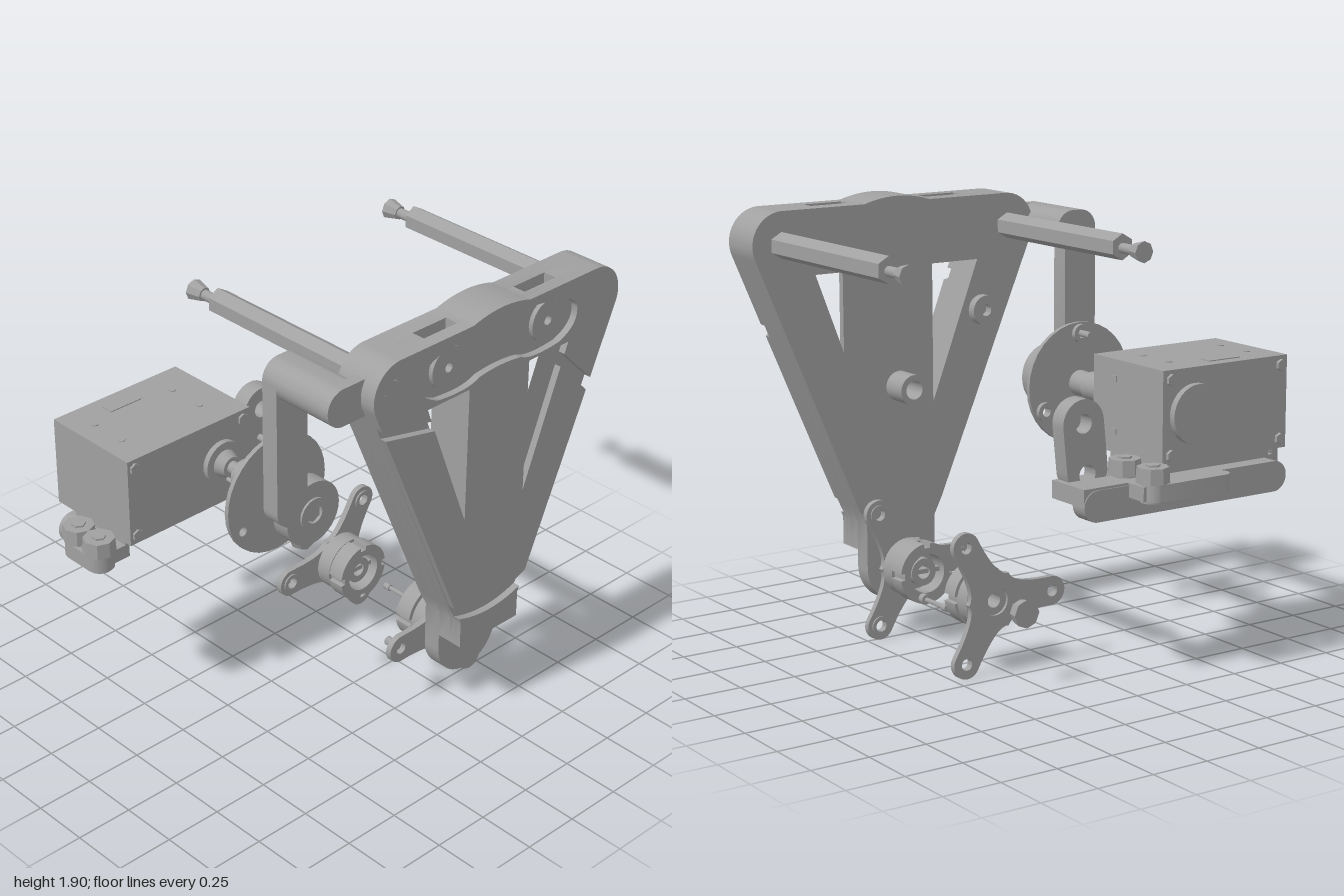
import * as THREE from 'three';
import { toCreasedNormals } from 'three/addons/utils/BufferGeometryUtils.js';

export function createModel() {
  const root = new THREE.Group();
  const grey = new THREE.MeshStandardMaterial({ color: 0xa0a0a0 });
  grey.name = 'machined grey';
  const PI = Math.PI;

  const add = (name, geo) => {
    const m = new THREE.Mesh(toCreasedNormals(geo, 0.6), grey);
    m.name = name;
    root.add(m);
    return m;
  };
  // extrude a shape along z (axis 'z') or along y (axis 'y', shape y = -z)
  const ext = (name, shape, a, b, axis = 'z') => {
    const g = new THREE.ExtrudeGeometry(shape, { depth: b - a, bevelEnabled: false, curveSegments: 16 });
    g.translate(0, 0, a);
    if (axis === 'y') g.rotateX(-PI / 2);
    return add(name, g);
  };
  // cylinder along z or y; u,v are (x,y) or (x,z)
  const cyl = (name, u, v, r, a, b, sides = 28, axis = 'z', r2 = r) => {
    const g = new THREE.CylinderGeometry(r2, r, b - a, sides);
    if (axis === 'z') g.rotateX(PI / 2).translate(u, v, (a + b) / 2);
    else g.translate(u, (a + b) / 2, v);
    return add(name, g);
  };
  const hole = (shape, x, y, r) => {
    shape.holes.push(new THREE.Path().absarc(x, y, r, 0, PI * 2, true));
    return shape;
  };
  const disc = (x, y, r) => new THREE.Shape().absarc(x, y, r, 0, PI * 2, false);
  const ring = (name, x, y, r, ri, a, b, axis) => ext(name, hole(disc(x, y, r), x, y, ri), a, b, axis);
  // rounded link between two points
  const link = (x1, y1, x2, y2, r) => {
    const t = Math.atan2(y2 - y1, x2 - x1);
    return new THREE.Shape().absarc(x1, y1, r, t + PI / 2, t + PI * 1.5, false)
      .absarc(x2, y2, r, t - PI / 2, t + PI / 2, false);
  };
  const box = (name, x0, x1, y0, y1, z0, z1) =>
    add(name, new THREE.BoxGeometry(x1 - x0, y1 - y0, z1 - z0)
      .translate((x0 + x1) / 2, (y0 + y1) / 2, (z0 + z1) / 2));

  // ---- triangular frame, stacked in four layers ----
  const outer = (y, side) => 0.3 + side * (0.679 - (1.68 - y) * 0.428);
  const inner = (y, side) => 0.3 + side * (0.4 - (1.6 - y) * 0.383);
  const tri = (P, s) => [[0.3 + s * 0.17, 1.6], [0.3 + s * 0.4, 1.6], [0.3 + s * 0.17, 1.0]]
    .reduce((p, [x, y], i) => (i ? p.lineTo(x, y) : p.moveTo(x, y)), new P());
  const frame = ({ slots = false, tab = false, grooves = false }) => {
    const s = new THREE.Shape();
    if (grooves) s.moveTo(0.09, 0.59);
    else s.moveTo(0.13, tab ? 0.31 : 0.38).lineTo(0.13, 0.5).lineTo(0.09, 0.58);
    if (grooves) {
      s.lineTo(outer(1.55, -1), 1.55).lineTo(inner(1.49, -1), 1.49).lineTo(0.13, 1.0).lineTo(0.13, 1.6)
        .lineTo(-0.1, 1.6).lineTo(inner(1.54, -1), 1.54).lineTo(outer(1.6, -1), 1.6);
    }
    s.absarc(-0.25, 1.735, 0.14, PI * 1.128, PI / 2, true);
    if (slots) s.lineTo(-0.07, 1.875).lineTo(-0.07, 1.8).lineTo(0.11, 1.8).lineTo(0.11, 1.875);
    s.lineTo(0.14, 1.875).quadraticCurveTo(0.3, 1.925, 0.46, 1.875);
    if (slots) s.lineTo(0.49, 1.875).lineTo(0.49, 1.8).lineTo(0.67, 1.8).lineTo(0.67, 1.875);
    s.absarc(0.85, 1.735, 0.14, PI / 2, -PI * 0.128, true);
    if (grooves) {
      s.lineTo(outer(1.38, 1), 1.38).lineTo(inner(1.55, 1), 1.55).lineTo(0.7, 1.6).lineTo(0.47, 1.6)
        .lineTo(0.47, 1.0).lineTo(inner(1.5, 1), 1.5).lineTo(outer(1.33, 1), 1.33)
        .lineTo(0.51, 0.59).quadraticCurveTo(0.3, 0.51, 0.09, 0.59);
    } else {
      s.lineTo(0.51, 0.58).lineTo(0.47, 0.5);
      if (tab) s.absarc(0.3, 0.31, 0.17, 0, -PI, true);
      else s.lineTo(0.47, 0.38);
      s.holes.push(tri(THREE.Path, -1), tri(THREE.Path, 1));
    }
    return s;
  };
  const drill = (s, list) => list.reduce((q, [x, y, r]) => hole(q, x, y, r), s);
  const corners = [[-0.26, 1.735, 0.075], [0.86, 1.735, 0.075]];
  const pulleys = [[0.02, 1.735, 0.09], [0.58, 1.735, 0.09]];
  ext('frameBack', drill(frame({ tab: true }), [[0.3, 1.09, 0.04], [0.3, 0.31, 0.045],
    [0.02, 1.735, 0.02], [0.58, 1.735, 0.02], [-0.12, 1.38, 0.025]]), 0.54, 0.62);
  ext('frameMiddle', drill(frame({ slots: true }), [[0.3, 1.09, 0.09], [-0.12, 1.38, 0.025]]), 0.62, 0.68);
  ext('frameFront', drill(frame({}), [...corners, ...pulleys, [0.3, 1.09, 0.09], [-0.12, 1.38, 0.06]]), 0.68, 0.71);
  const face = drill(frame({ grooves: true }), [...corners, [0.3, 1.09, 0.09], [-0.12, 1.38, 0.06]]);
  // waisted pocket across the top of the face
  face.holes.push(new THREE.Path().moveTo(-0.04, 1.62).quadraticCurveTo(0.12, 1.6, 0.18, 1.635)
    .quadraticCurveTo(0.3, 1.655, 0.42, 1.635).quadraticCurveTo(0.48, 1.6, 0.64, 1.62)
    .quadraticCurveTo(0.76, 1.66, 0.74, 1.75).quadraticCurveTo(0.7, 1.82, 0.55, 1.83)
    .quadraticCurveTo(0.3, 1.87, 0.05, 1.83).quadraticCurveTo(-0.1, 1.82, -0.14, 1.75)
    .quadraticCurveTo(-0.16, 1.66, -0.04, 1.62));
  ext('frameFace', face, 0.71, 0.74);
  ext('frameFoot', new THREE.Shape().moveTo(0.13, 0.38).lineTo(0.13, 0.5).lineTo(0.12, 0.525)
    .quadraticCurveTo(0.3, 0.46, 0.48, 0.525).lineTo(0.47, 0.5).lineTo(0.47, 0.38), 0.71, 0.74);
  ring('frameBoss', 0.3, 1.09, 0.065, 0.04, 0.42, 0.54);
  ring('frameNut', -0.12, 1.38, 0.065, 0.025, 0.5, 0.54);
  for (const [x, y] of pulleys) ring('pulleyBush', x, y, 0.09, 0.02, 0.68, 0.73);

  // ---- hexagonal standoffs with end screws ----
  for (const x of [-0.255, 0.855]) {
    cyl('standoff', x, 1.735, 0.055, -0.29, 0.54, 6);
    cyl('standoffScrew', x, 1.73, 0.022, -0.38, -0.29, 12);
    cyl('standoffScrewHead', x, 1.73, 0.045, -0.435, -0.37, 8, 'z', 0.03);
    cyl('standoffBolt', x, 1.735, 0.04, 0.68, 0.7, 6);
  }

  // ---- side crank arm ----
  cyl('crankPivot', -0.48, 1.73, 0.08, 0.31, 0.67);
  ext('crankTongue', link(-0.48, 1.73, -0.3, 1.73, 0.08), 0.62, 0.67);
  ext('crankBridge', link(-0.48, 1.73, -0.44, 1.73, 0.08), 0.31, 0.62);
  ext('crankArm', link(-0.48, 1.73, -0.48, 1.16, 0.08), 0.31, 0.39);
  ring('crankHub', -0.37, 1.09, 0.14, 0.05, 0.31, 0.39);

  // ---- drive disc and coupling ----
  const drive = disc(-0.37, 1.09, 0.262);
  for (const [x, y] of [[-0.555, 0.985], [-0.185, 0.985], [-0.37, 1.305]]) {
    hole(drive, x, y, 0.02);
    ring('discNut', x, y, 0.04, 0.02, 0.14, 0.165);
  }
  ext('driveDisc', drive, 0.16, 0.18);
  ring('driveHub', -0.37, 1.09, 0.07, 0.04, 0.18, 0.4);
  cyl('driveHubBolt', -0.37, 1.09, 0.04, 0.19, 0.39, 6);
  cyl('discScrew', -0.37, 1.305, 0.015, 0.08, 0.16, 12);
  cyl('couplingNeck', -0.37, 1.09, 0.05, 0.06, 0.16, 20, 'z', 0.055);
  ring('coupling', -0.37, 1.09, 0.062, 0.035, -0.03, 0.07);
  cyl('looseScrew', -0.36, 1.01, 0.01, -0.13, 0, 12);
  cyl('looseScrewHead', -0.36, 1.01, 0.018, -0.03, 0, 12);

  // ---- servo motor ----
  box('servoBody', -0.855, -0.21, 0.89, 1.28, -0.625, -0.16);
  cyl('servoCollar', -0.37, 1.09, 0.095, -0.16, -0.135);
  cyl('servoBoss', -0.37, 1.09, 0.06, -0.135, -0.09, 24, 'z', 0.045);
  cyl('servoShaft', -0.37, 1.09, 0.028, -0.09, -0.06, 16);
  cyl('servoRearCap', -0.37, 1.09, 0.125, -0.655, -0.625, 32);
  for (const x of [-0.82, -0.25]) for (const y of [0.93, 1.24]) {
    cyl('servoFaceScrew', x, y, 0.025, -0.165, -0.15, 6);
    cyl('servoRearScrew', x, y, 0.025, -0.64, -0.62, 6);
  }
  for (const x of [-0.76, -0.35]) for (const z of [-0.48, -0.31])
    cyl('servoTopScrew', x, z, 0.015, 1.275, 1.284, 12, 'y');
  for (const y of [0.98, 1.2]) box('servoSidePin', -0.215, -0.205, y - 0.012, y + 0.012, -0.32, -0.295);
  box('servoLabel', -0.65, -0.49, 1.275, 1.284, -0.57, -0.51);

  // ---- linkage under the servo ----
  ext('lowerBar', link(-0.815, 0.765, 0.095, 0.765, 0.065), -0.605, -0.525);
  box('lowerRail', -0.87, -0.08, 0.775, 0.84, -0.53, -0.33);
  box('servoCradle', -0.82, -0.24, 0.84, 0.89, -0.56, -0.24);
  ext('endLug', link(-0.93, 0.4, -0.93, 0.27, 0.06), 0.78, 0.85, 'y');
  box('endLugWeb', -0.93, -0.8, 0.78, 0.84, -0.44, -0.24);
  ext('rearLug', link(-0.44, 0.7, -0.12, 0.7, 0.045), 0.78, 0.85, 'y');
  box('rearLugWeb', -0.18, -0.06, 0.78, 0.84, -0.7, -0.46);
  for (const [x, z] of [[-0.93, -0.4], [-0.93, -0.27], [-0.12, -0.68], [-0.12, -0.495]]) {
    cyl('linkageNut', x, z, 0.07, 0.85, 0.915, 8, 'y', 0.066);
    cyl('linkageBoltHead', x, z, 0.03, 0.915, 0.923, 6, 'y');
    cyl('linkageNutBase', x, z, 0.05, 0.77, 0.85, 16, 'y');
  }
  const lever = drill(link(0.04, 0.88, 0.06, 1.07, 0.1), [[0.06, 1.07, 0.04], [0.04, 0.86, 0.04]]);
  ext('lever', lever, -0.46, -0.385);
  box('leverFoot', -0.06, 0.16, 0.765, 0.84, -0.6, -0.385);

  // ---- three-armed horns with stacked rings ----
  const horn = (zPlate, dir) => {
    const arms = [PI / 3, PI, PI * 5 / 3];
    const s = new THREE.Shape();
    const span = (a, b) => [Math.min(zPlate + dir * a, zPlate + dir * b), Math.max(zPlate + dir * a, zPlate + dir * b)];
    arms.forEach((t) => {
      s.absarc(0.3 + 0.283 * Math.cos(t), 0.31 + 0.283 * Math.sin(t), 0.062, t - PI / 2, t + PI / 2, false);
      const u = t + PI / 3;
      s.quadraticCurveTo(0.3 + 0.1 * Math.cos(t + 0.6), 0.31 + 0.1 * Math.sin(t + 0.6),
        0.3 + 0.13 * Math.cos(u), 0.31 + 0.13 * Math.sin(u));
      s.quadraticCurveTo(0.3 + 0.1 * Math.cos(u + 0.45), 0.31 + 0.1 * Math.sin(u + 0.45),
        0.3 + 0.283 * Math.cos(t + PI * 2 / 3) + 0.062 * Math.cos(t + PI / 6),
        0.31 + 0.283 * Math.sin(t + PI * 2 / 3) + 0.062 * Math.sin(t + PI / 6));
    });
    hole(s, 0.3, 0.31, 0.06);
    for (const t of arms) {
      const x = 0.3 + 0.283 * Math.cos(t), y = 0.31 + 0.283 * Math.sin(t);
      hole(s, x, y, 0.025);
      ring('hornNut', x, y, 0.042, 0.025, ...span(0.012, 0.02));
    }
    ext('hornPlate', s, zPlate - 0.013, zPlate + 0.013);
    ring('hornHub', 0.3, 0.31, 0.125, 0.06, ...span(0.013, 0.083));
    ring('hornRing', 0.3, 0.31, 0.112, 0.085, ...span(0.083, 0.168));
    // outer ring in four segments
    for (let i = 0; i < 4; i++) {
      const a = i * PI / 2 + 0.12, b = a + PI / 2 - 0.24;
      const seg = new THREE.Shape().absarc(0.3, 0.31, 0.132, a, b, false).absarc(0.3, 0.31, 0.105, b, a, true);
      ext('hornSegment', seg, ...span(0.092, 0.168));
    }
    ring('hornCore', 0.3, 0.31, 0.06, 0.03, ...span(0.0, 0.14));
    box('hornSpoke', 0.2, 0.4, 0.3, 0.32, ...span(0.09, 0.13));
  };
  horn(0.5, -1);
  horn(-0.172, 1);
  ring('tabBoss', 0.3, 0.31, 0.068, 0.03, 0.51, 0.54);
  cyl('hornScrew', 0.02, 0.31, 0.02, 0.43, 0.49, 12);

  // ---- loose fasteners ----
  cyl('looseNut', 0.3, 0.31, 0.06, -0.41, -0.36, 8, 'z', 0.05);
  cyl('pinRod', 0.38, 0.235, 0.01, 0.06, 0.24, 12);
  cyl('pinHead', 0.38, 0.235, 0.022, 0.215, 0.245, 12);
  cyl('pinTip', 0.38, 0.235, 0.015, 0.055, 0.085, 12);

  return root;
}
